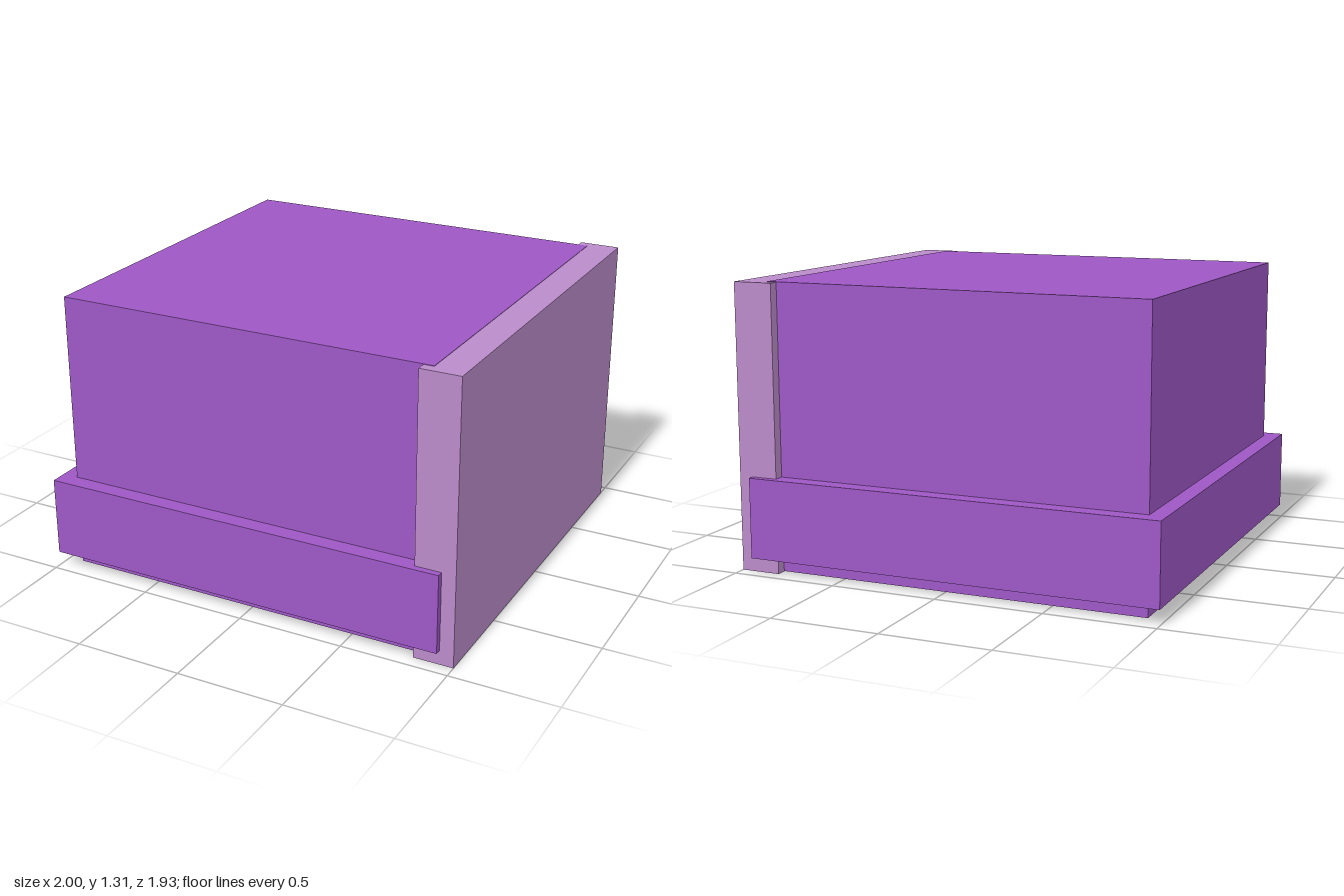
import * as THREE from 'three';

const mat = (name, color) => {
  const m = new THREE.MeshStandardMaterial({ color });
  m.name = name;
  return m;
};

// Box given by its minimum and maximum corners
function block(name, min, max, material) {
  const size = max.map((v, i) => v - min[i]);
  const mesh = new THREE.Mesh(new THREE.BoxGeometry(...size), material);
  mesh.position.set(...max.map((v, i) => (v + min[i]) / 2));
  mesh.name = name;
  return mesh;
}

export function createModel() {
  const purple = mat('purple', 0x9e58c5);
  const lilac = mat('lilac', 0xba8bc9);
  const group = new THREE.Group();
  group.name = 'box';
  group.add(
    // Main body, a hair above the end panel where they overlap on top
    block('body', [-0.925, 0.002, -0.89], [0.86, 1.315, 0.89], purple),
    // Lower band wrapping the body
    block('band', [-1, 0.068, -0.967], [0.935, 0.438, 0.967], purple),
    // Thick end panel on the left side
    block('endPanel', [0.813, 0, -0.937], [1, 1.313, 0.937], lilac),
  );
  return group;
}
